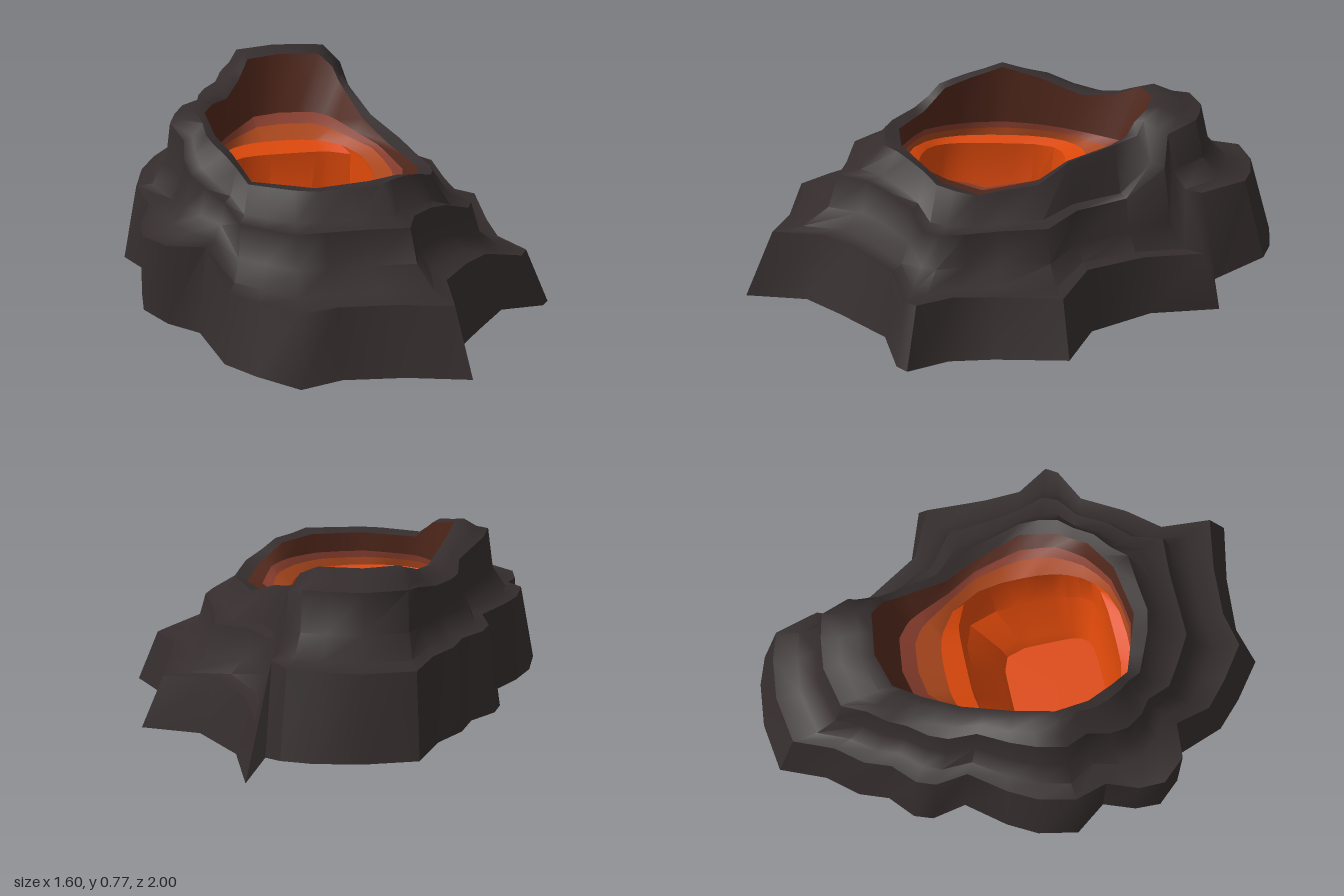
import * as THREE from 'three';
import { toCreasedNormals } from 'three/addons/utils/BufferGeometryUtils.js';

// Ragged foot of the mound as x, z pairs, running from the back round by the left
const OUTLINE = [
  -.31, -.97, -.12, -1, .05, -.985, .16, -.95, .22, -.76, .29, -.78, .34, -.52, .49, -.30, .72, -.22,
  .70, .05, .70, .21, .80, .35, .77, .39, .59, .45, .46, .63, .35, .77, .345, 1, .12, .95,
  -.10, .93, -.25, .97, -.39, .86, -.49, .76, -.56, .58, -.67, .53, -.75, .44, -.75, .34, -.71, .22,
  -.80, .10, -.77, -.05, -.71, -.16, -.60, -.30, -.625, -.43, -.60, -.50, -.51, -.58, -.47, -.69, -.38, -.80,
];
const COUNT = OUTLINE.length / 2;

// Outline index, crater rim x, z, then heights: foot, first ledge, second ledge, rim
const KEYS = [
  [0, -.25, -.48, .21, .50, .72, .76],
  [1, -.12, -.52, .21, .50, .72, .76],
  [3, .04, -.50, .20, .50, .72, .76],
  [4, .09, -.45, .13, .47, .68, .72],
  [5, .11, -.42, .04, .25, .56, .67],
  [6, .13, -.36, .04, .25, .45, .64],
  [7, .17, -.20, .03, .25, .43, .59],
  [8, .25, -.08, .02, .22, .41, .53],
  [10, .33, .12, 0, .22, .40, .51],
  [12, .29, .26, .01, .22, .41, .54],
  [14, .20, .36, .07, .32, .50, .60],
  [16, .08, .43, .09, .33, .52, .615],
  [18, -.12, .46, .09, .33, .52, .615],
  [21, -.34, .38, .09, .33, .52, .62],
  [22, -.37, .34, .12, .44, .56, .66],
  [23, -.40, .30, .14, .45, .60, .70],
  [25, -.45, .20, .17, .45, .66, .73],
  [27, -.475, .07, .20, .49, .73, .77],
  [29, -.43, -.08, .20, .50, .72, .74],
  [31, -.36, -.25, .20, .50, .67, .69],
  [33, -.30, -.38, .20, .50, .67, .71],
];

const lerp = THREE.MathUtils.lerp;

// Interpolated key row at outline index i, wrapping round the loop
function keyAt(i) {
  let k = KEYS.length - 1;
  while (KEYS[k][0] > i) k--;
  const a = KEYS[k], b = KEYS[(k + 1) % KEYS.length];
  const end = k + 1 < KEYS.length ? b[0] : COUNT;
  return a.map((v, n) => lerp(v, b[n], (i - a[0]) / (end - a[0])));
}

// Point on a rounded rectangle (power 2 is an ellipse), in the direction of (x, z)
function rounded(x, z, power, cx, cz, hx, hz, y) {
  const dx = x + .125, dz = z - .1;
  const s = Math.pow(Math.abs(dx) ** power + Math.abs(dz) ** power, -1 / power);
  return new THREE.Vector3(cx + dx * s * hx, y, cz + dz * s * hz);
}

// Closed strips between successive rings; a lone point closes the middle
function skin(rings, crease) {
  const pos = [];
  const put = (...pts) => pts.forEach(p => pos.push(p.x, p.y, p.z));
  for (let r = 0; r + 1 < rings.length; r++) {
    const low = rings[r], high = rings[r + 1];
    for (let j = 0; j < COUNT; j++) {
      const n = (j + 1) % COUNT;
      if (high.length === 1) { put(low[j], high[0], low[n]); continue; }
      put(low[j], high[j], low[n], low[n], high[j], high[n]);
    }
  }
  const g = new THREE.BufferGeometry();
  g.setAttribute('position', new THREE.Float32BufferAttribute(pos, 3));
  return toCreasedNormals(g, crease);
}

function material(name, color) {
  const m = new THREE.MeshStandardMaterial({ color, side: THREE.DoubleSide });
  m.name = name;
  return m;
}

export function createModel() {
  const group = new THREE.Group();
  group.name = 'volcanoCrater';
  const add = (name, mat, rings, crease = .95) => {
    const mesh = new THREE.Mesh(skin(rings, crease), mat);
    mesh.name = name;
    group.add(mesh);
  };

  // Slope rings: share of the way from foot to rim
  const steps = [0, .18, .37, .53, .6, .74, .89, 1];
  const rock = steps.map(() => []);
  const lip = [];
  // Crater wall rings: share of the way from rim to lava, and height
  const wallSteps = [[.36, .53], [.6, .505], [1, .475]];
  const wall = wallSteps.map(() => []);
  // Bowl rings: corner power, centre x, z, half sizes, height
  const bowlSteps = [
    [4, -.125, .1, .285, .29, .455],
    [5, -.13, .12, .275, .28, .22],
    [5, -.14, .165, .19, .21, .09],
    [5, -.14, .17, .17, .19, .035],
  ];
  const bowl = bowlSteps.map(() => []);

  for (let j = 0; j < COUNT; j++) {
    const [, rx, rz, foot, ledge, second, rim] = keyAt(j);
    const x = OUTLINE[2 * j], z = OUTLINE[2 * j + 1];
    const heights = [foot, ledge, ledge + .005, lerp(ledge, second, .35), second, second + .01, rim, rim - .01];
    const cliff = j >= 23 && j <= 26; // upright lower face at the front right
    steps.forEach((t, r) => {
      const share = cliff && r === 1 ? .03 : t;
      rock[r].push(new THREE.Vector3(lerp(x, rx, share), heights[r], lerp(z, rz, share)));
    });
    lip.push(new THREE.Vector3(lerp(x, rx, .2), foot + .035, lerp(z, rz, .2)));

    const lava = rounded(rx, rz, 2.6, -.15, .08, .31, .355, .475);
    wallSteps.forEach(([t, y], r) => wall[r].push(
      new THREE.Vector3(lerp(rx, lava.x, t), Math.min(y, rim - .015 - .005 * r), lerp(rz, lava.z, t))));
    bowlSteps.forEach((s, r) => bowl[r].push(rounded(rx, rz, ...s)));
  }

  // Stepped rock slopes and the dark underside of their foot
  add('rockSlopes', material('rock', 0x352d2d), rock);
  add('footUnderside', material('black rock', 0x0a0909), [lip, rock[0]]);

  // Crater wall, glowing more towards the pool
  add('craterWall', material('scorched rock', 0x50271b), [rock[7], wall[0]]);
  add('warmBand', material('warm rock', 0x853c2c), [wall[0], wall[1]]);
  add('hotBand', material('hot rock', 0xa8461c), [wall[1], wall[2]]);

  // Molten bowl with its floor
  add('lavaBowl', material('lava', 0xdc480a), [wall[2], ...bowl, [new THREE.Vector3(-.14, .035, .17)]], .6);
  return group;
}
